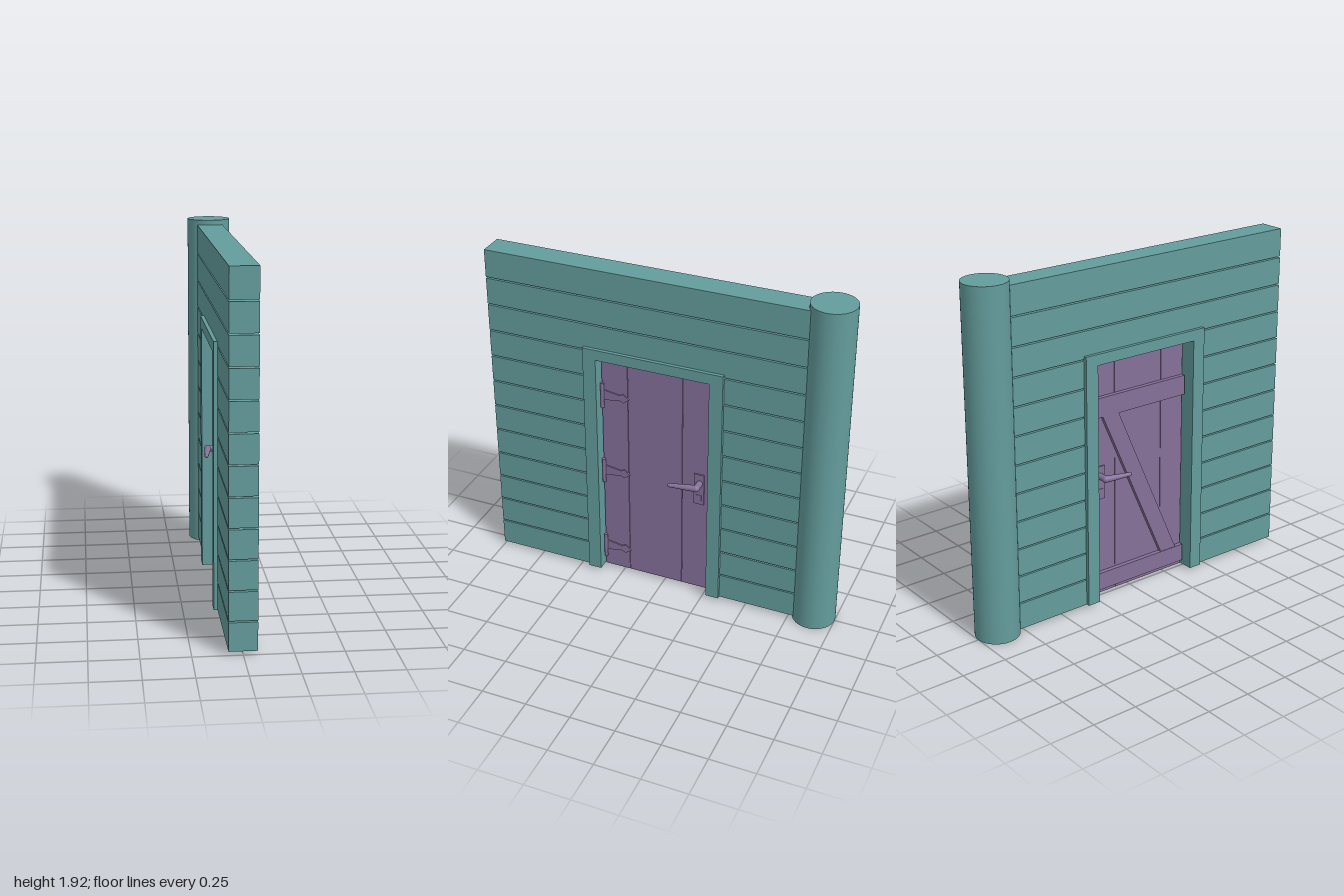
import * as THREE from 'three';

const wallMat = new THREE.MeshStandardMaterial({ color: 0x649c9c });
const doorMat = new THREE.MeshStandardMaterial({ color: 0x86709a });

function add(parent, name, geometry, material) {
  const mesh = new THREE.Mesh(geometry, material);
  mesh.name = name;
  parent.add(mesh);
  return mesh;
}

// Box given by its two extreme corners
function box(parent, name, material, x0, x1, y0, y1, z0, z1) {
  const mesh = add(parent, name, new THREE.BoxGeometry(x1 - x0, y1 - y0, z1 - z0), material);
  mesh.position.set((x0 + x1) / 2, (y0 + y1) / 2, (z0 + z1) / 2);
  return mesh;
}

// Tapered round bar between two points
function bar(parent, name, a, b, ra, rb) {
  const dir = b.clone().sub(a);
  const mesh = add(parent, name, new THREE.CylinderGeometry(rb, ra, dir.length(), 16), doorMat);
  mesh.position.copy(a).add(b).multiplyScalar(0.5);
  mesh.quaternion.setFromUnitVectors(new THREE.Vector3(0, 1, 0), dir.normalize());
  return mesh;
}

// Log wall with a doorway
function buildWall() {
  const wall = new THREE.Group();
  wall.name = 'wall';
  const rows = 12, base = 0.02, pitch = 0.156, gap = 0.008;
  for (let i = 0; i < rows; i++) {
    const y0 = base + i * pitch;
    const y1 = y0 + pitch - (i < rows - 1 ? gap : 0);
    const spans = y0 > 1.4 ? [[-0.84, 1]] : [[-0.84, -0.31], [0.4, 1]];
    for (const [z0, z1] of spans) box(wall, 'wallPlank', wallMat, -0.072, 0.072, y0, y1, z0, z1);
  }
  const post = add(wall, 'cornerPost', new THREE.CylinderGeometry(0.12, 0.12, 1.92, 48), wallMat);
  post.position.set(0, 0.96, -0.88);
  return wall;
}

// Door surround: two jambs and a head
function buildFrame() {
  const frame = new THREE.Group();
  frame.name = 'doorFrame';
  const x = 0.092;
  box(frame, 'hingeJamb', wallMat, -x, x, 0.02, 1.38, 0.366, 0.44);
  box(frame, 'latchJamb', wallMat, -x, x, 0.02, 1.38, -0.35, -0.275);
  box(frame, 'frameHead', wallMat, -x, x, 1.38, 1.44, -0.35, 0.44);
  return frame;
}

// Lever handle with its plate, built for the outer face
function buildHandle() {
  const handle = new THREE.Group();
  handle.name = 'doorHandle';
  const y = 0.72;
  box(handle, 'handlePlate', doorMat, 0.028, 0.038, 0.585, 0.775, -0.235, -0.177);
  box(handle, 'keyhole', doorMat, 0.036, 0.041, 0.612, 0.645, -0.222, -0.192);
  const elbow = new THREE.Vector3(0.09, y, -0.21);
  const tip = new THREE.Vector3(0.11, y - 0.003, -0.064);
  bar(handle, 'handleStem', new THREE.Vector3(0.03, y, -0.21), elbow, 0.018, 0.018);
  bar(handle, 'handleLever', elbow, tip, 0.019, 0.011);
  add(handle, 'handleElbow', new THREE.SphereGeometry(0.0195, 16, 12), doorMat).position.copy(elbow);
  add(handle, 'handleTip', new THREE.SphereGeometry(0.011, 12, 8), doorMat).position.copy(tip);
  return handle;
}

// Strap hinge: pin and pointed strap
function buildHinge(y) {
  const hinge = new THREE.Group();
  hinge.name = 'hinge';
  hinge.position.y = y;
  const pin = add(hinge, 'hingePin', new THREE.CylinderGeometry(0.01, 0.01, 0.15, 12), doorMat);
  pin.position.set(0.04, 0, 0.355);
  const shape = new THREE.Shape([
    [0, -0.032], [0.1, -0.016], [0.12, -0.027], [0.155, 0],
    [0.12, 0.027], [0.1, 0.016], [0, 0.032],
  ].map(([u, v]) => new THREE.Vector2(u, v)));
  const strap = add(hinge, 'hingeStrap',
    new THREE.ExtrudeGeometry(shape, { depth: 0.008, bevelEnabled: false }), doorMat);
  strap.rotation.y = Math.PI / 2;
  strap.position.set(0.029, 0, 0.355);
  return hinge;
}

function buildDoor() {
  const door = new THREE.Group();
  door.name = 'door';
  // Upright boards
  for (const [z0, z1] of [[-0.267, -0.107], [-0.104, 0.208], [0.211, 0.36]]) {
    box(door, 'doorBoard', doorMat, -0.005, 0.03, 0.02, 1.372, z0, z1);
  }
  // Ledges and diagonal brace on the inner face
  box(door, 'upperLedge', doorMat, -0.03, -0.004, 1.06, 1.17, -0.265, 0.358);
  box(door, 'lowerLedge', doorMat, -0.03, -0.004, 0.05, 0.15, -0.265, 0.358);
  const w = 0.052;
  const brace = new THREE.Shape([
    [-0.145 - w, 1.06], [0.255 - w, 0.15], [0.255 + w, 0.15], [-0.145 + w, 1.06],
  ].map(([z, y]) => new THREE.Vector2(-z, y)));
  const braceMesh = add(door, 'diagonalBrace',
    new THREE.ExtrudeGeometry(brace, { depth: 0.023, bevelEnabled: false }), doorMat);
  braceMesh.rotation.y = Math.PI / 2;
  braceMesh.position.x = -0.027;

  for (const y of [1.145, 0.665, 0.155]) door.add(buildHinge(y));

  // Handles on both faces, mirrored about the middle of the boards
  door.add(buildHandle());
  const inner = buildHandle();
  inner.name = 'innerHandle';
  inner.scale.x = -1;
  inner.position.x = 0.025;
  door.add(inner);
  return door;
}

export function createModel() {
  const model = new THREE.Group();
  model.name = 'wallWithDoor';
  model.add(buildWall(), buildFrame(), buildDoor());
  return model;
}
